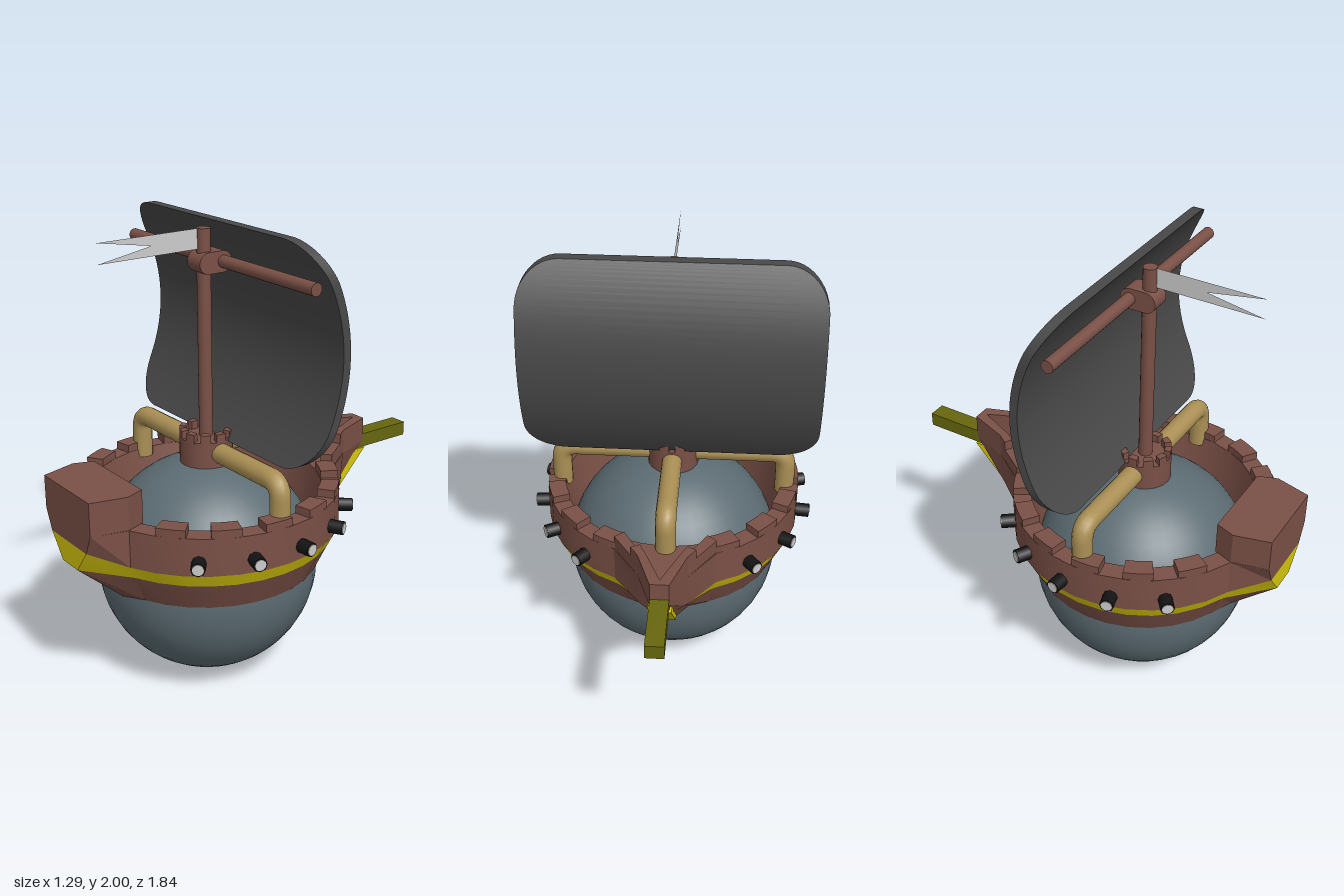
import * as THREE from 'three';
import { toCreasedNormals } from 'three/addons/utils/BufferGeometryUtils.js';

const mat = (color, side = THREE.FrontSide) => new THREE.MeshStandardMaterial({ color, side });
const brown = mat(0x7a5046), yellow = mat(0xd6c60c), olive = mat(0x66660e), tan = mat(0xab9055);
const steel = mat(0x5c6c73), cloth = mat(0x484848), black = mat(0x141414), grey = mat(0xcccccc);
const CZ = 0.23; // z of the mast and ball axis
const rad = THREE.MathUtils.degToRad;

function add(parent, name, geo, material, x = 0, y = 0, z = 0) {
  const m = new THREE.Mesh(geo, material);
  m.name = name;
  m.position.set(x, y, z);
  parent.add(m);
  return m;
}

// Point on a circle about the ball axis; angle 0 is the front
const polar = (deg, r) => [r * Math.sin(rad(deg)), CZ + r * Math.cos(rad(deg))];

// Upright prism over an [x, z] outline
function prism(outline, y0, y1) {
  const s = new THREE.Shape(outline.map(([x, z]) => new THREE.Vector2(x, z)));
  const g = new THREE.ExtrudeGeometry(s, { depth: y1 - y0, bevelEnabled: false });
  return g.rotateX(Math.PI / 2).translate(0, y1, 0);
}

// Arc-shaped wall block around the given angle
function arcBlock(mid, width, r0, r1, y0, y1) {
  const outer = [], inner = [];
  for (let i = 0; i <= 3; i++) {
    const a = mid + width * (i / 3 - 0.5);
    outer.push(polar(a, r1));
    inner.unshift(polar(a, r0));
  }
  return prism([...outer, ...inner], y0, y1);
}

// Skin over closed rows of [x, y, z] points, lowest row first
function loft(rows, crease = 0.4) {
  const pos = [];
  for (let j = 0; j < rows.length - 1; j++) {
    const n = rows[j].length;
    for (let i = 0; i < n; i++) {
      const k = (i + 1) % n;
      const a = rows[j][i], b = rows[j][k], c = rows[j + 1][k], d = rows[j + 1][i];
      pos.push(...a, ...b, ...d, ...b, ...c, ...d);
    }
  }
  const g = new THREE.BufferGeometry();
  g.setAttribute('position', new THREE.Float32BufferAttribute(pos, 3));
  return toCreasedNormals(g, crease);
}

// Hull stations from front to back: bottom, band low, band high, rail, inner rail, inner floor
function hullRows() {
  const inner = (deg) => {
    const [a, b] = polar(deg, 0.5), [c, d] = polar(deg, 0.45);
    return [[a, 0.855, b], [c, 0.6, d]];
  };
  const half = [
    [[0.07, 0.48, 0.72], [0.06, 0.66, 0.92], [0.14, 0.765, 0.92], [0.18, 0.855, 0.92], ...inner(11.25)],
  ];
  for (let deg = 22.5; deg <= 157.5; deg += 11.25) {
    const ring = [[0.49, 0.5], [0.55, 0.63], [0.58, 0.69], [0.58, 0.855]].map(([r, y]) => {
      const [x, z] = polar(deg, r);
      return [x, y, z];
    });
    half.push([...ring, ...inner(deg)]);
  }
  half.push(
    [[0.1, 0.5, -0.26], [0.085, 0.63, -0.4], [0.1, 0.69, -0.46], [0.105, 0.855, -0.47], ...inner(167)],
    [[0.04, 0.5, -0.34], [0.04, 0.63, -0.46], [0.04, 0.69, -0.52], [0.04, 0.855, -0.65], ...inner(176)],
  );
  const mirrored = half.map((s) => s.map(([x, y, z]) => [-x, y, z])).reverse();
  const stations = [...half, ...mirrored];
  const rows = half[0].map((_, level) => stations.map((s) => s[level]));
  // closing row under the hull, hidden in the ball
  const under = rows[5].map(([x, , z]) => [x, 0.5, z]);
  return [under, ...rows];
}

function buildHull(root) {
  const hull = new THREE.Group();
  hull.name = 'hull';
  root.add(hull);
  const rows = hullRows();
  add(hull, 'lowerHull', loft(rows.slice(0, 3)), brown);
  add(hull, 'hullBand', loft(rows.slice(2, 4)), yellow);
  add(hull, 'upperHull', loft(rows.slice(3)), brown);

  // raised block at the front
  const block = [[0.18, 0.92], [0.22, 0.765], [0.19, 0.68], [-0.19, 0.68], [-0.22, 0.765], [-0.18, 0.92]];
  add(hull, 'frontBlock', prism(block, 0.85, 1), brown);

  for (const s of [1, -1]) {
    // battlements and cannons
    for (let k = 0; k < 6; k++)
      add(hull, 'battlement', arcBlock(s * (40.25 + 22.5 * k), 12.5, 0.5, 0.578, 0.85, 0.89), brown);
    for (let k = 0; k < 5; k++) {
      const deg = 51.5 + 22.5 * k;
      const cannon = new THREE.Group();
      cannon.name = 'cannon';
      cannon.position.set(0, 0.75, CZ);
      cannon.rotation.y = s * rad(deg);
      const barrel = new THREE.CylinderGeometry(0.031, 0.031, 0.1, 8).rotateX(Math.PI / 2);
      add(cannon, 'barrel', barrel, black, 0, 0, 0.588);
      const core = new THREE.CylinderGeometry(0.024, 0.024, 0.02, 12).rotateX(Math.PI / 2);
      add(cannon, 'muzzle', core, grey, 0, 0, 0.631);
      hull.add(cannon);
    }
    // stepped walls of the pointed end
    const low = [[0.22, -0.3], [0.139, -0.42], [0.1, -0.4], [0.18, -0.265]];
    const high = [[0.139, -0.42], [0.105, -0.47], [0.04, -0.65], [0, -0.65], [0, -0.62], [0.07, -0.46], [0.1, -0.4]];
    const flip = (pts) => pts.map(([x, z]) => [s * x, z]);
    add(hull, 'prowWallLow', prism(flip(low), 0.85, 0.92), brown);
    add(hull, 'prowWallHigh', prism(flip(high), 0.85, 0.965), brown);
  }

  // keel strip and bowsprit
  const profile = [[0.24, 0.5], [0.35, 0.495], [0.655, 0.82], [0.6, 0.82], [0.44, 0.69]];
  const keel = new THREE.ExtrudeGeometry(
    new THREE.Shape(profile.map(([z, y]) => new THREE.Vector2(z, y))), { depth: 0.1, bevelEnabled: false });
  add(hull, 'keel', keel.rotateY(Math.PI / 2), yellow, -0.05);
  add(hull, 'bowsprit', new THREE.BoxGeometry(0.08, 0.065, 0.34), olive, 0, 0.852, -0.75);
}

// Pipe running out from the mast base and bending down into the rim
function pipeGeometry(length) {
  const path = new THREE.CurvePath();
  const v = (x, y) => new THREE.Vector3(x, y, 0);
  const b = 0.07;
  path.add(new THREE.LineCurve3(v(0.05, 1.022), v(length - b, 1.022)));
  path.add(new THREE.QuadraticBezierCurve3(v(length - b, 1.022), v(length, 1.022), v(length, 1.022 - b)));
  path.add(new THREE.LineCurve3(v(length, 1.022 - b), v(length, 0.82)));
  return new THREE.TubeGeometry(path, 48, 0.045, 14);
}

// Curved sail with rounded corners, built from level slices
function sailGeometry() {
  const rows = [], n = 40, corner = 0.18, half = 0.466;
  for (let i = 0; i <= n; i++) {
    const t = -Math.cos((Math.PI * i) / n);
    const d = Math.max(0, Math.abs(t) * half - (half - corner));
    const w = 0.645 - corner + Math.sqrt(Math.max(0, corner * corner - d * d));
    const y = 1.533 + t * half;
    const z = 0.008 + 0.16 * t * t;
    const f = 0.018 + 0.006 * t * t;
    rows.push([[-w, y, z + f], [w, y, z + f], [w, y, z - f], [-w, y, z - f]]);
  }
  const cap = (row) => {
    const c = [0, row[0][1], (row[0][2] + row[2][2]) / 2];
    return [c, c, c, c];
  };
  return loft([cap(rows[0]), ...rows, cap(rows[n])], 0.5);
}

function buildRig(root) {
  const rig = new THREE.Group();
  rig.name = 'rig';
  root.add(rig);
  // crenellated mast base
  add(rig, 'mastBase', new THREE.CylinderGeometry(0.115, 0.115, 0.13, 20), brown, 0, 1.01, CZ);
  for (let k = 0; k < 10; k++)
    add(rig, 'baseTooth', arcBlock(18 + 36 * k, 22, 0.085, 0.115, 1.07, 1.11), brown);
  add(rig, 'mast', new THREE.CylinderGeometry(0.03, 0.03, 1.02, 16), brown, 0, 1.46, CZ);

  // yard and its bracket
  const yard = new THREE.CylinderGeometry(0.027, 0.027, 1.27, 14).rotateZ(Math.PI / 2);
  add(rig, 'yard', yard, brown, 0, 1.83, 0.163);
  const s = new THREE.Shape();
  s.absarc(0.035, 0, 0.045, -Math.PI / 2, Math.PI / 2);
  s.absarc(-0.035, 0, 0.045, Math.PI / 2, Math.PI * 1.5);
  const bracket = new THREE.ExtrudeGeometry(s, { depth: 0.09, bevelEnabled: false });
  add(rig, 'yardBracket', bracket.rotateY(Math.PI / 2), brown, -0.045, 1.83, 0.2);

  add(rig, 'sail', sailGeometry(), cloth);

  // swallow-tailed pennant
  const tail = [[0, 1.97], [0.5, 1.97], [0.25, 1.927], [0.5, 1.885], [0, 1.885]];
  const flag = new THREE.ShapeGeometry(new THREE.Shape(tail.map(([x, y]) => new THREE.Vector2(x, y))));
  add(rig, 'pennant', flag.rotateY(-Math.PI / 2), mat(0xcccccc, THREE.DoubleSide), 0, 0, CZ);
}

export function createModel() {
  const root = new THREE.Group();
  root.name = 'sailingBallShip';
  add(root, 'ball', new THREE.SphereGeometry(0.487, 40, 28), steel, 0, 0.487, CZ);
  buildHull(root);
  // pipes to left, back and right
  for (const [turn, length] of [[0, 0.515], [Math.PI / 2, 0.515], [Math.PI, 0.515]])
    add(root, 'pipe', pipeGeometry(length), tan, 0, 0, CZ).rotation.y = turn;
  buildRig(root);
  return root;
}
